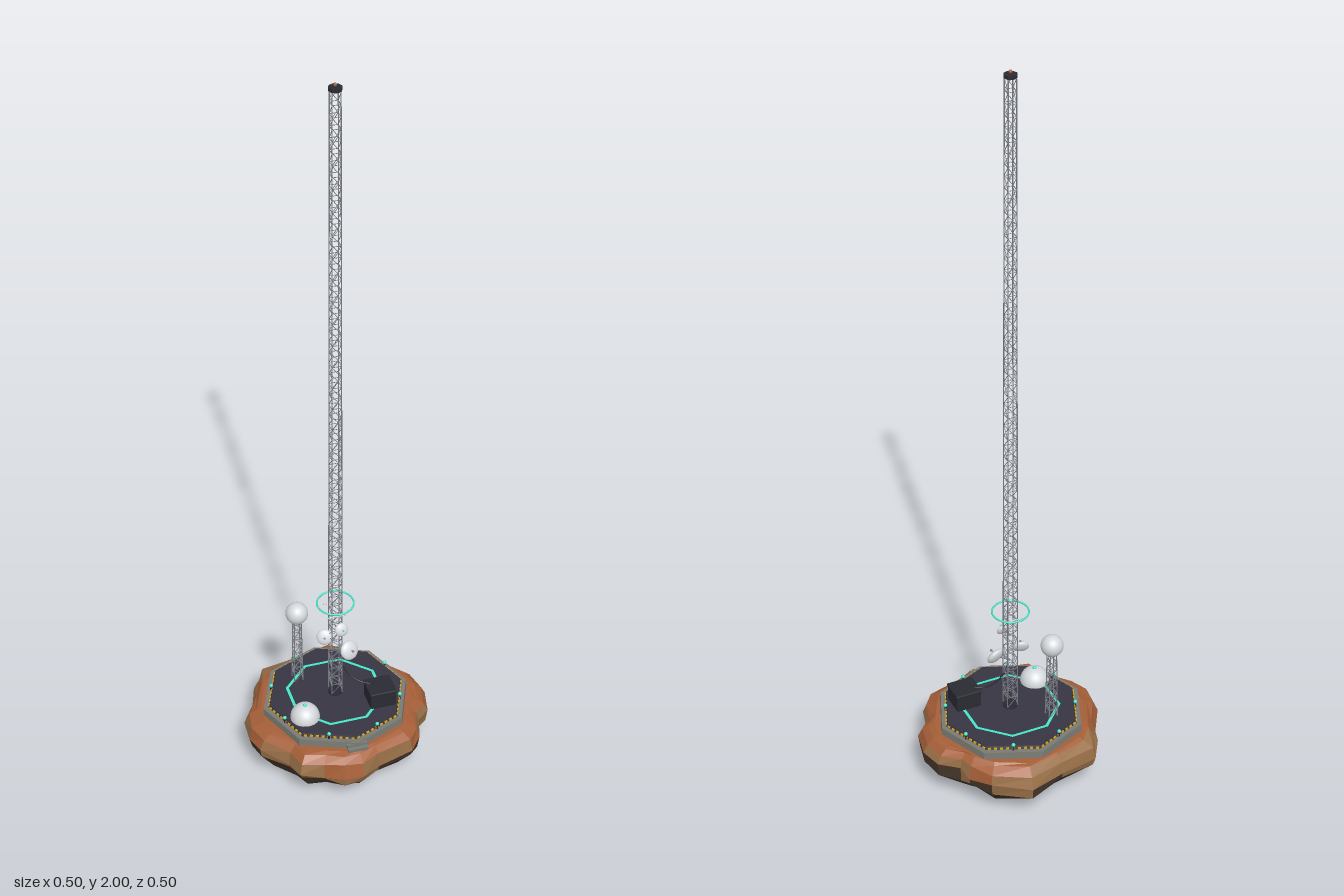
import * as THREE from 'three';
import { mergeGeometries } from 'three/addons/utils/BufferGeometryUtils.js';
import { RoundedBoxGeometry } from 'three/addons/geometries/RoundedBoxGeometry.js';

const mat = (name, color, extra = {}) => new THREE.MeshStandardMaterial({ name, color, ...extra });
const V = (x, y, z) => new THREE.Vector3(x, y, z);

export function createModel() {
  const M = {
    rust: mat('rustRock', 0xa65f38, { flatShading: true }),
    sand: mat('sandRock', 0x9a7048, { flatShading: true }),
    dark: mat('darkRock', 0x45372b, { flatShading: true }),
    concrete: mat('concrete', 0x7a7a74, { flatShading: true }),
    deck: mat('deck', 0x363542, { flatShading: true }),
    charcoal: mat('charcoal', 0x2a2a33, { flatShading: true }),
    teal: mat('teal', 0x45e6c8),
    yellow: mat('hazardYellow', 0xd0a020),
    white: mat('white', 0xd6d9dd),
    steel: mat('steel', 0x80848b),
  };
  const root = new THREE.Group();
  const station = new THREE.Group();
  station.name = 'station';
  station.position.set(-0.003, 0, 0.002);
  root.add(station);

  const add = (name, geo, material, x = 0, y = 0, z = 0, parent = station) => {
    const m = new THREE.Mesh(geo, material);
    m.name = name;
    m.position.set(x, y, z);
    parent.add(m);
    return m;
  };
  const strut = (a, b, r) => {
    const d = b.clone().sub(a);
    const g = new THREE.CylinderGeometry(r, r, d.length(), 5);
    g.applyQuaternion(new THREE.Quaternion().setFromUnitVectors(V(0, 1, 0), d.normalize()));
    return g.translate((a.x + b.x) / 2, (a.y + b.y) / 2, (a.z + b.z) / 2);
  };
  // Square lattice: corner legs, a hoop and alternating diagonals in each bay
  const lattice = (y0, y1, w0, w1, bays, r) => {
    const parts = [];
    const P = (i, k) => {
      const t = i / bays, w = w0 + (w1 - w0) * t;
      return V([-w, w, w, -w][k % 4], y0 + (y1 - y0) * t, [-w, -w, w, w][k % 4]);
    };
    for (let k = 0; k < 4; k++) {
      parts.push(strut(P(0, k), P(bays, k), r));
      for (let i = 0; i < bays; i++) {
        parts.push(strut(P(i + 1, k), P(i + 1, k + 1), r * 0.6));
        parts.push(i % 2 ? strut(P(i, k), P(i + 1, k + 1), r * 0.6) : strut(P(i, k + 1), P(i + 1, k), r * 0.6));
      }
    }
    return mergeGeometries(parts);
  };

  // Rock: outline in plan, scaled level by level and roughened
  const outline = [[0.05, -0.25], [0.14, -0.19], [0.178, -0.135], [0.188, -0.1], [0.235, -0.06], [0.25, 0],
    [0.235, 0.07], [0.2, 0.1], [0.182, 0.16], [0.15, 0.195], [0.05, 0.22], [0, 0.25], [-0.05, 0.245],
    [-0.1, 0.22], [-0.16, 0.205], [-0.175, 0.15], [-0.235, 0.085], [-0.25, 0.03], [-0.247, -0.03],
    [-0.205, -0.1], [-0.187, -0.15], [-0.155, -0.2], [-0.05, -0.22]];
  let seed = 7;
  const rnd = () => (seed = (seed * 16807) % 2147483647) / 2147483647;
  // Each level: height, scale, roundness
  const levels = [[0.154, 1, 0], [0.149, 0.9, 0.25], [0.136, 0.97, 0.1], [0.104, 1, 0], [0.08, 0.98, 0.05],
    [0.034, 0.84, 0.15], [0.01, 0.65, 0.2], [0, 0.43, 0.3]];
  const n = outline.length, last = levels.length - 1;
  const rings = levels.map(([y, s, round], j) => outline.map(([x, z]) => {
    const r = Math.hypot(x, z);
    const target = j === 0 ? 0.195 + (r - 0.22) * 0.3 : (r * (1 - round) + 0.225 * round) * s;
    const k = target / r * (j === 3 || j === 0 ? 1 : 0.975 + rnd() * 0.04);
    const dy = j === 0 || j === last ? 0 : (rnd() - 0.5) * (j > 2 && j < 6 ? 0.02 : 0.008);
    return V(x * k, y + dy, z * k);
  }));
  const faces = { rust: [], sand: [], dark: [] };
  const tri = (c, a, b, d) => faces[c].push(...a.toArray(), ...b.toArray(), ...d.toArray());
  const bandColour = (j, i) => {
    if (j === 0) return 'rust';
    if (j === 1) return i > 19 ? 'sand' : 'rust';
    if (j === 2) return rnd() < 0.8 ? 'sand' : 'rust';
    if (j === 3) return rnd() < 0.6 ? 'sand' : 'dark';
    return 'dark';
  };
  for (let i = 0; i < n; i++) {
    const k = (i + 1) % n;
    for (let j = 0; j < last; j++) {
      const c = bandColour(j, i);
      const a = rings[j][i], b = rings[j][k], d = rings[j + 1][i], e = rings[j + 1][k];
      tri(c, a, b, e);
      tri(c, a, e, d);
    }
    tri('rust', V(0, 0.154, 0), rings[0][k], rings[0][i]);
    tri('dark', V(0, 0, 0), rings[last][i], rings[last][k]);
  }
  for (const c in faces) {
    const g = new THREE.BufferGeometry();
    g.setAttribute('position', new THREE.Float32BufferAttribute(faces[c], 3));
    g.computeVertexNormals();
    add(c + 'Rock', g, M[c], 0, 0, 0, root);
  }

  // Octagonal platform with a dark deck and a dashed edge
  add('platformBase', new THREE.CylinderGeometry(0.198, 0.201, 0.032, 8), M.concrete, 0, 0.157, 0);
  add('deckPlate', new THREE.CylinderGeometry(0.181, 0.185, 0.01, 8), M.deck, 0, 0.178, 0);
  const dashes = [];
  for (let s = 0; s < 8; s++) {
    for (let i = 0; i < 9; i++) {
      const g = new THREE.BoxGeometry(0.008, 0.005, 0.004);
      g.translate((i - 4) * 0.0156, 0.1765, 0.1705);
      dashes.push(g.rotateY((s + 0.5) * Math.PI / 4));
    }
  }
  add('hazardDashes', mergeGeometries(dashes), M.yellow);

  // Painted octagon line
  const line = new THREE.RingGeometry(0.1245, 0.133, 8, 1, Math.PI / 8).rotateX(-Math.PI / 2);
  add('deckLine', line, M.teal, 0, 0.1838, 0);

  // Edge lights
  for (let i = 0; i < 8; i++) {
    const a = (i + 0.5) * Math.PI / 4, x = Math.sin(a) * 0.172, z = Math.cos(a) * 0.172;
    add('edgeLightPost', new THREE.CylinderGeometry(0.002, 0.003, 0.014, 6), M.charcoal, x, 0.18, z);
    add('edgeLight', new THREE.SphereGeometry(0.0052, 12, 8), M.teal, x, 0.189, z);
  }

  // Steps at the front
  for (let i = 0; i < 3; i++) {
    add('step', new THREE.BoxGeometry(0.055, 0.01, 0.0115), M.concrete, 0, 0.17 - i * 0.007, 0.18 + i * 0.0105);
  }

  // Main mast
  add('mastFoot', new THREE.CylinderGeometry(0.018, 0.02, 0.01, 8), M.charcoal, 0, 0.187, 0);
  add('mast', lattice(0.19, 1.98, 0.0145, 0.0105, 58, 0.0015), M.steel);
  add('mastCap', new THREE.CylinderGeometry(0.017, 0.017, 0.008, 8), M.charcoal, 0, 1.986, 0);
  add('mastBeacon', new THREE.SphereGeometry(0.0045, 12, 8), M.rust, 0, 1.9955, 0);

  // Ring around the mast
  add('halo', new THREE.TorusGeometry(0.048, 0.0024, 8, 48).rotateX(Math.PI / 2), M.teal, 0, 0.49, 0);

  // Crossbar aerials
  for (const [y, z] of [[0.475, -0.021], [0.458, 0.018]]) {
    add('crossbar', strut(V(-0.028, y, z), V(0.026, y, z), 0.0016), M.white);
  }

  // Rounded dishes on the mast, tilted upward
  const dish = (x, y, z, r, yaw, tilt, tip) => {
    const g = new THREE.Group();
    g.name = 'dish';
    g.position.set(x, y, z);
    g.rotation.set(tilt, yaw, 0, 'YXZ');
    add('dishBowl', new THREE.SphereGeometry(r, 24, 16).scale(1, 1, 0.42), M.white, 0, 0, 0, g);
    add('dishFeed', strut(V(0, 0, 0), V(0, 0, r * 0.75), 0.0009), M.steel, 0, 0, 0, g);
    add('dishTip', new THREE.SphereGeometry(r * 0.13, 10, 8), tip, 0, 0, r * 0.75, g);
    station.add(g);
    add('dishArm', strut(V(0, y - 0.006, 0), V(x, y, z), 0.002), M.steel);
  };
  dish(0.031, 0.34, 0.024, 0.026, 0.3, -0.45, M.steel);
  dish(-0.027, 0.374, -0.008, 0.021, -0.3, -0.45, M.steel);
  dish(0.009, 0.418, 0.026, 0.018, 0.1, -0.4, M.teal);

  // Radome on its own tower
  add('radomeTower', lattice(0.182, 0.385, 0.012, 0.009, 8, 0.0015), M.steel, -0.081, 0, -0.081);
  add('radome', new THREE.SphereGeometry(0.03, 28, 20), M.white, -0.081, 0.41, -0.081);

  // Ground dome
  add('domeBase', new THREE.CylinderGeometry(0.039, 0.039, 0.004, 32), M.white, -0.105, 0.184, 0.071);
  add('dome', new THREE.SphereGeometry(0.039, 32, 12, 0, Math.PI * 2, 0, Math.PI / 2), M.white, -0.105, 0.184, 0.071);
  add('domeLight', new THREE.SphereGeometry(0.0055, 10, 8), M.teal, -0.105, 0.223, 0.071);

  // Equipment cabinet and cable to the mast
  add('cabinet', new RoundedBoxGeometry(0.07, 0.05, 0.065, 1, 0.004), M.charcoal, 0.104, 0.207, 0.064);
  add('cabinetLid', new RoundedBoxGeometry(0.073, 0.006, 0.068, 1, 0.002), M.charcoal, 0.104, 0.23, 0.064);
  const cable = new THREE.CatmullRomCurve3([V(0.08, 0.232, 0.05), V(0.055, 0.236, 0.036), V(0.03, 0.256, 0.022), V(0.012, 0.288, 0.011)]);
  add('cable', new THREE.TubeGeometry(cable, 16, 0.002, 6), M.charcoal);

  return root;
}
